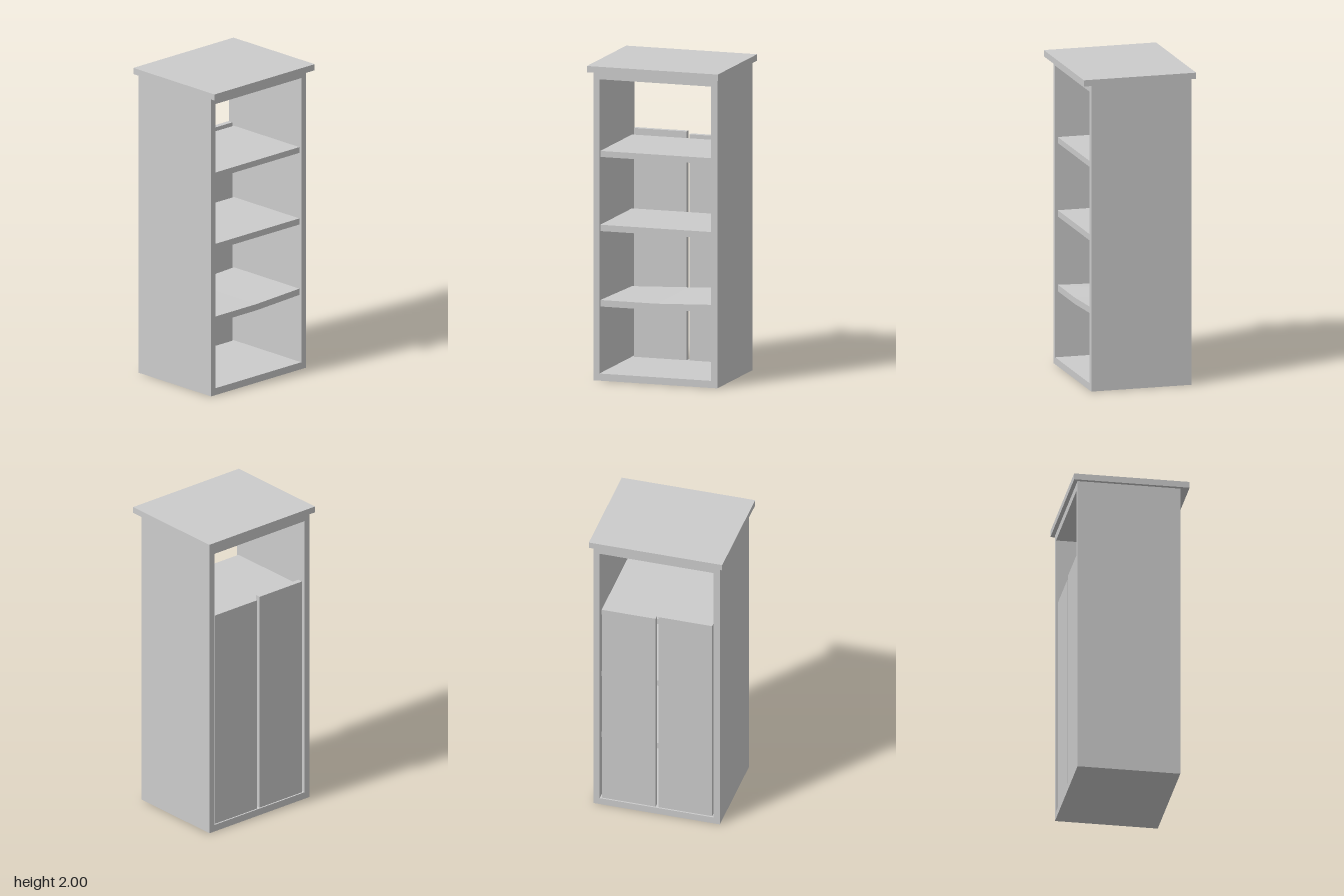
import * as THREE from 'three';

const material = new THREE.MeshStandardMaterial({ color: 0xcccccc, flatShading: true });

// Box given by its limits on each axis
function block(name, [x0, x1], [y0, y1], [z0, z1], xSegments = 1) {
  const geometry = new THREE.BoxGeometry(x1 - x0, y1 - y0, z1 - z0, xSegments, 1, 1);
  geometry.translate((x0 + x1) / 2, (y0 + y1) / 2, (z0 + z1) / 2);
  const mesh = new THREE.Mesh(geometry, material);
  mesh.name = name;
  return mesh;
}

function rectangle(PathType, x0, x1, y0, y1) {
  return new PathType([
    new THREE.Vector2(x0, y0), new THREE.Vector2(x1, y0),
    new THREE.Vector2(x1, y1), new THREE.Vector2(x0, y1),
  ]);
}

export function createModel() {
  const cabinet = new THREE.Group();
  cabinet.name = 'cabinet';

  // Carcass: sides, floor and head as one open frame
  const outline = rectangle(THREE.Shape, -0.41, 0.41, 0, 1.96);
  outline.holes.push(rectangle(THREE.Path, -0.37, 0.37, 0.045, 1.91));
  const frame = new THREE.ExtrudeGeometry(outline, { depth: 0.65, bevelEnabled: false });
  frame.translate(0, 0, -0.34);
  const carcass = new THREE.Mesh(frame, material);
  carcass.name = 'carcass';
  cabinet.add(carcass);

  // Overhanging top
  cabinet.add(block('top', [-0.433, 0.433], [1.96, 2], [-0.365, 0.365]));

  // Level shelves
  const shelfX = [-0.37, 0.37], shelfZ = [-0.295, 0.293];
  cabinet.add(block('upperShelf', shelfX, [1.415, 1.453], shelfZ));
  cabinet.add(block('middleShelf', shelfX, [0.945, 0.985], shelfZ));

  // Warped lower shelf: creased in the middle, right end raised, back left sagging
  const warped = block('lowerShelf', shelfX, [0.467, 0.508], shelfZ, 2);
  const p = warped.geometry.attributes.position;
  for (let i = 0; i < p.count; i++) {
    if (p.getX(i) > 0.1) p.setY(i, p.getY(i) + 0.016);
    else if (p.getX(i) < -0.1 && p.getZ(i) < 0) p.setY(i, p.getY(i) - 0.016);
  }
  warped.geometry.computeVertexNormals();
  cabinet.add(warped);

  // Two back panels of slightly different height, with a gap between them
  cabinet.add(block('backPanelRight', [0.01, 0.357], [0.045, 1.478], [-0.33, -0.295]));
  cabinet.add(block('backPanelLeft', [-0.357, -0.01], [0.045, 1.495], [-0.33, -0.295]));

  return cabinet;
}
